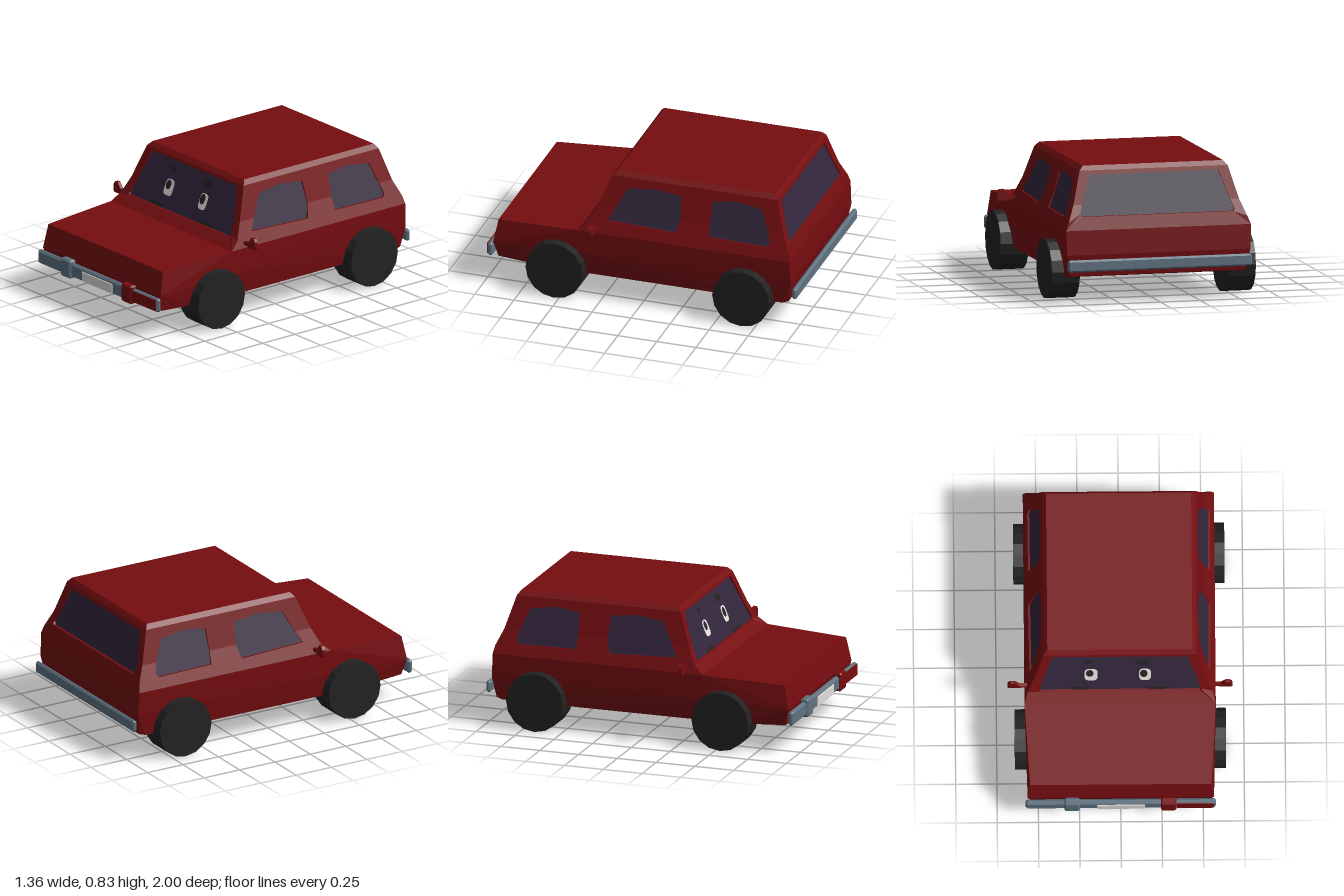
import * as THREE from 'three';
import { ConvexGeometry } from 'three/addons/geometries/ConvexGeometry.js';

const V = (x, y, z) => new THREE.Vector3(x, y, z);
const mat = (name, color, extra = {}) => {
  const m = new THREE.MeshStandardMaterial({ color, ...extra });
  m.name = name;
  return m;
};

// Piecewise-linear lookup of a cabin dimension by height
const HEIGHTS = [0.45, 0.5, 0.6, 0.8];
const profile = (values) => (y) => {
  let i = 0;
  while (i < 2 && y > HEIGHTS[i + 1]) i++;
  const t = (y - HEIGHTS[i]) / (HEIGHTS[i + 1] - HEIGHTS[i]);
  return values[i] + t * (values[i + 1] - values[i]);
};
const line = (y0, a, y1, b) => (y) => a + ((y - y0) / (y1 - y0)) * (b - a);
const halfWidth = profile([0.58, 0.56, 0.52, 0.465]);
const frontZ = profile([0.4, 0.34, 0.29, 0.215]);
const backZ = profile([-0.955, -0.945, -0.9, -0.84]);

// Geometry from triangles
function fromTriangles(tris) {
  const g = new THREE.BufferGeometry().setFromPoints(tris.flat());
  g.computeVertexNormals();
  return g;
}

// Box with chamfered edges, centred at the given point
function chamferBox(cx, cy, cz, w, h, d, c) {
  const pts = [];
  for (const sx of [-1, 1]) for (const sy of [-1, 1]) for (const sz of [-1, 1]) {
    for (const [ix, iy, iz] of [[0, c, c], [c, 0, c], [c, c, 0]]) {
      pts.push(V(cx + sx * (w / 2 - ix), cy + sy * (h / 2 - iy), cz + sz * (d / 2 - iz)));
    }
  }
  return new ConvexGeometry(pts);
}

export function createModel() {
  const car = new THREE.Group();
  car.name = 'car';
  const red = mat('red paint', 0x750d10, { flatShading: true });
  const glass = mat('tinted glass', 0x33263c, { side: THREE.DoubleSide });
  const steel = mat('bumper steel', 0x5f7280);
  const rubber = mat('tyre rubber', 0x222222, { flatShading: true });
  const white = mat('eye white', 0xe2deda, { side: THREE.DoubleSide });
  const dark = mat('dark markings', 0x242222, { side: THREE.DoubleSide });

  const add = (name, geometry, material, parent = car) => {
    const m = new THREE.Mesh(geometry, material);
    m.name = name;
    parent.add(m);
    return m;
  };

  // Lower body with bonnet, and the bevelled roof
  const hull = [];
  for (const s of [-1, 1]) {
    hull.push(
      V(s * 0.54, 0.175, 0.92), V(s * 0.56, 0.16, 0.6), V(s * 0.56, 0.16, -0.9), V(s * 0.55, 0.17, -0.94),
      V(s * 0.565, 0.28, 0.945), V(s * 0.58, 0.3, 0.4), V(s * 0.575, 0.3, -0.962),
      V(s * 0.55, 0.428, 0.915), V(s * 0.58, 0.45, 0.4), V(s * 0.58, 0.45, -0.955));
  }
  add('lowerBody', new ConvexGeometry(hull), red);
  const roof = [];
  for (const s of [-1, 1]) {
    roof.push(V(s * 0.465, 0.8, 0.215), V(s * 0.465, 0.8, -0.84), V(s * 0.44, 0.828, 0.19), V(s * 0.44, 0.828, -0.82));
  }
  add('roof', new ConvexGeometry(roof), red);

  // Cabin wall with a recessed window: outer edge, hole edge, sunken pane
  function windowWall(name, outer, hole, surface, pane, place) {
    const o = outer.map(([u, y]) => place(u, y, surface(y)));
    const h = hole.map(([u, y]) => place(u, y, surface(y)));
    const p = hole.map(([u, y]) => place(u, y, pane(y)));
    const c = p.reduce((a, b) => a.add(b), V(0, 0, 0)).divideScalar(p.length);
    let frame = [], panes = [];
    o.forEach((_, i) => {
      const j = (i + 1) % o.length;
      frame.push([o[i], o[j], h[j]], [o[i], h[j], h[i]], [h[i], h[j], p[j]], [h[i], p[j], p[i]]);
      panes.push([p[i], p[j], c]);
    });
    const normal = new THREE.Triangle(...panes[0]).getNormal(V(0, 0, 0));
    if (normal.dot(c.clone().sub(V(0, 0.5, -0.3))) < 0) {
      frame = frame.map(([a, b, d]) => [a, d, b]);
      panes = panes.map(([a, b, d]) => [a, d, b]);
    }
    add(name + 'Frame', fromTriangles(frame), red);
    add(name + 'Glass', fromTriangles(panes), glass);
  }
  const mirrored = (half) => [...half, ...half.map(([x, y]) => [-x, y]).reverse()];
  const endOuter = mirrored(HEIGHTS.map((y) => [halfWidth(y), y]));
  const alongX = (x, y, z) => V(x, y, z);

  const screenPane = line(0.5, 0.325, 0.79, 0.205);
  windowWall('windscreen', endOuter,
    mirrored([[0.485, 0.502], [0.49, 0.515], [0.466, 0.6], [0.41, 0.785]]), frontZ, screenPane, alongX);
  windowWall('rearWindow', endOuter,
    mirrored([[0.475, 0.53], [0.485, 0.545], [0.465, 0.6], [0.405, 0.775]]), backZ,
    line(0.53, -0.915, 0.78, -0.835), alongX);

  const sidePane = line(0.52, 0.54, 0.75, 0.465);
  for (const [s, side] of [[1, 'left'], [-1, 'right']]) {
    const place = (z, y, x) => V(s * x, y, z);
    windowWall(side + 'FrontWindow',
      [[0.4, 0.45], [-0.33, 0.45], [-0.33, 0.6], [-0.33, 0.8], [-0.06, 0.8], [0.215, 0.8], [0.29, 0.6], [0.34, 0.5]],
      [[0.22, 0.53], [-0.215, 0.515], [-0.24, 0.6], [-0.23, 0.735], [-0.06, 0.755], [0.11, 0.735], [0.18, 0.6], [0.21, 0.55]],
      halfWidth, sidePane, place);
    windowWall(side + 'RearWindow',
      [[-0.33, 0.45], [-0.955, 0.45], [-0.945, 0.5], [-0.9, 0.6], [-0.84, 0.8], [-0.58, 0.8], [-0.33, 0.8], [-0.33, 0.6]],
      [[-0.43, 0.52], [-0.8, 0.515], [-0.82, 0.535], [-0.8, 0.6], [-0.75, 0.73], [-0.58, 0.755], [-0.43, 0.735], [-0.425, 0.6]],
      halfWidth, sidePane, place);

    // Wheels
    for (const [z, end] of [[0.53, 'Front'], [-0.665, 'Rear']]) {
      const wheel = new THREE.CylinderGeometry(0.183, 0.183, 0.177, 16).rotateZ(Math.PI / 2);
      add(side + end + 'Wheel', wheel, rubber).position.set(s * 0.552, 0.183, z);
    }

    // Door mirror
    const outline = [[0.55, 0.467], [0.6, 0.467], [0.62, 0.46], [0.675, 0.46], [0.682, 0.475], [0.68, 0.51],
      [0.665, 0.53], [0.64, 0.53], [0.615, 0.495], [0.55, 0.485]];
    const shape = new THREE.Shape(outline.map(([x, y]) => new THREE.Vector2(s * x, y)));
    const mirror = new THREE.ExtrudeGeometry(shape, { depth: 0.022, bevelEnabled: false });
    add(side + 'Mirror', mirror, red).position.z = 0.278;
  }

  // Bumpers, overriders and number plate
  add('frontBumper', chamferBox(0, 0.228, 0.963, 1.156, 0.086, 0.036, 0.012), steel);
  add('rearBumper', chamferBox(0, 0.237, -0.985, 1.156, 0.074, 0.03, 0.011), steel);
  add('rightOverrider', chamferBox(-0.295, 0.232, 0.969, 0.095, 0.116, 0.052, 0.01), steel);
  add('leftOverrider', chamferBox(0.29, 0.232, 0.969, 0.095, 0.116, 0.052, 0.01), red);
  add('bumperRedPanel', new THREE.BoxGeometry(0.225, 0.07, 0.006), red).position.set(0.452, 0.228, 0.981);
  add('numberPlate', chamferBox(0, 0.22, 0.982, 0.29, 0.062, 0.008, 0.003), white);

  // Face painted on the windscreen, laid in the plane of the pane
  const face = new THREE.Group();
  face.name = 'face';
  const slope = Math.atan2(0.12, 0.29);
  face.position.set(0, 0.5, screenPane(0.5));
  face.rotation.x = -slope;
  car.add(face);
  const decal = (name, x, y, w, h, material, layer, power = 1) => {
    const k = 1 / Math.cos(slope);
    const pts = Array.from({ length: 24 }, (_, i) => {
      const a = (i / 24) * Math.PI * 2, c = Math.cos(a), n = Math.sin(a);
      return new THREE.Vector2(Math.sign(c) * Math.abs(c) ** power * w / 2, Math.sign(n) * Math.abs(n) ** power * h * k / 2);
    });
    add(name, new THREE.ShapeGeometry(new THREE.Shape(pts)), material, face)
      .position.set(x, (y - 0.5) * k, 0.003 * layer);
  };
  decal('rightEye', -0.175, 0.623, 0.08, 0.095, white, 1, 0.55);
  decal('leftEye', 0.152, 0.623, 0.072, 0.095, white, 1, 0.55);
  decal('rightPupil', -0.183, 0.637, 0.045, 0.055, dark, 2);
  decal('leftPupil', 0.144, 0.634, 0.045, 0.06, dark, 2);
  decal('rightBrow', -0.187, 0.731, 0.062, 0.032, dark, 1);
  decal('leftBrow', 0.134, 0.724, 0.09, 0.046, dark, 1);
  decal('rightCheek', -0.238, 0.512, 0.125, 0.02, dark, 1, 0.6);
  decal('leftCheek', 0.235, 0.512, 0.15, 0.02, dark, 1, 0.6);

  return car;
}
